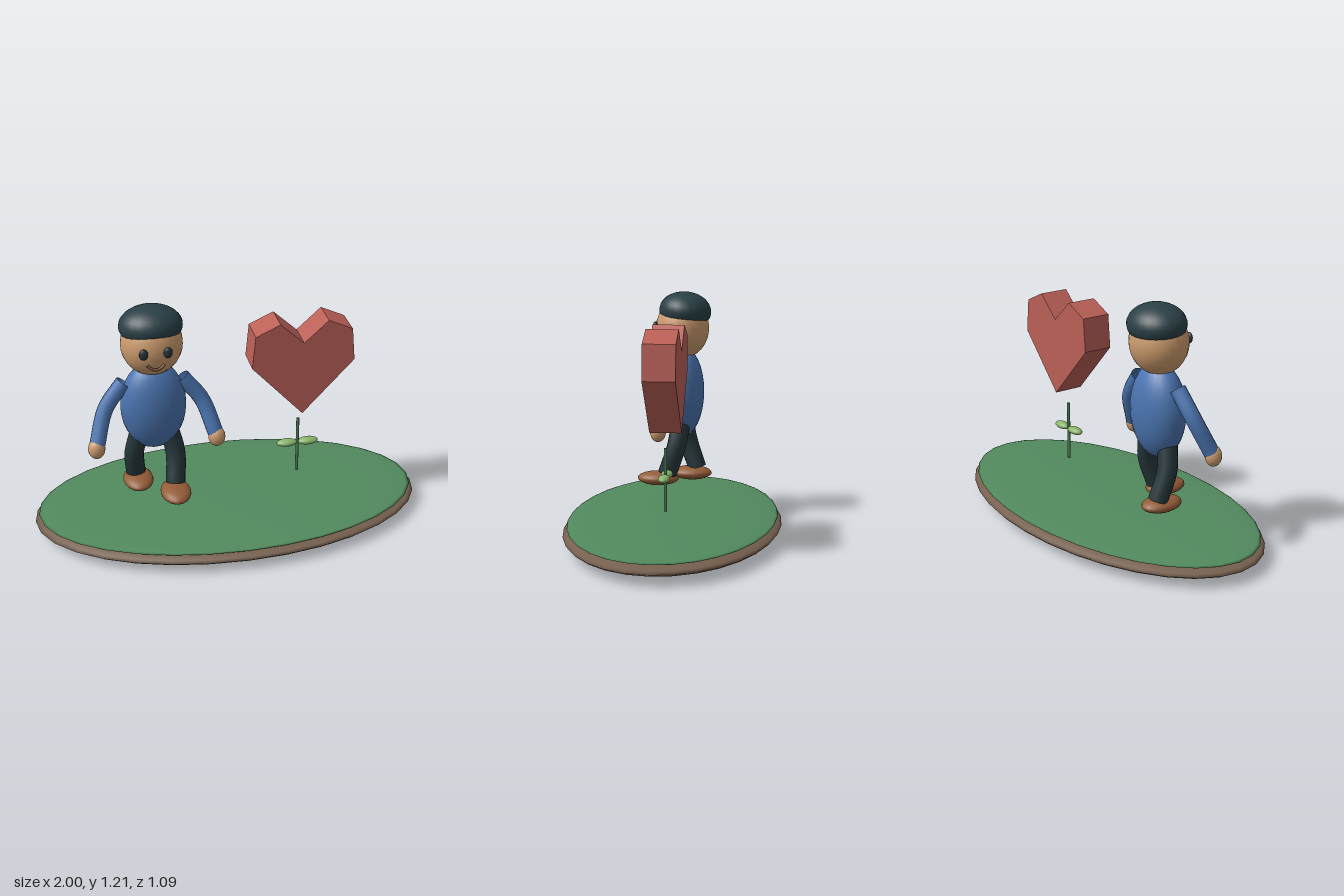
import * as THREE from 'three';

const V = (x, y, z) => new THREE.Vector3(x, y, z);
const mat = (color, side = THREE.FrontSide) => new THREE.MeshStandardMaterial({ color, side });
const COLORS = {
  skin: 0xcc9c6e, shirt: 0x4a74b0, trousers: 0x26373b, shoe: 0x945d38, cap: 0x2a4046,
  eye: 0x26343a, mouth: 0x7a4a32, soil: 0x776150, grass: 0x528a5e,
  heart: 0xbb6057, stem: 0x4c7d55, leaf: 0x8ab56c,
};

function add(parent, name, geometry, material) {
  const mesh = new THREE.Mesh(geometry, material);
  mesh.name = name;
  parent.add(mesh);
  return mesh;
}

// Smooth ellipsoid given by its centre and radii
function ellipsoid(parent, name, color, centre, radii, w = 24, h = 16) {
  const mesh = add(parent, name, new THREE.SphereGeometry(1, w, h), mat(color));
  mesh.position.set(...centre);
  mesh.scale.set(...radii);
  return mesh;
}

// Open tube along a smooth path
function limb(parent, name, color, points, radius, segments = 12) {
  const path = new THREE.CatmullRomCurve3(points);
  return add(parent, name, new THREE.TubeGeometry(path, segments, radius, 12), mat(color, THREE.DoubleSide));
}

function createPerson() {
  const person = new THREE.Group();
  person.name = 'person';

  ellipsoid(person, 'torso', COLORS.shirt, [0, 0.68, 0], [0.165, 0.24, 0.115]);
  ellipsoid(person, 'head', COLORS.skin, [0, 1.02, 0], [0.153, 0.16, 0.14]);

  // Cap: slightly more than a hemisphere, tipped backwards
  const cap = add(person, 'cap', new THREE.SphereGeometry(1, 24, 12, 0, Math.PI * 2, 0, Math.PI * 0.61),
    mat(COLORS.cap, THREE.DoubleSide));
  cap.position.set(0, 1.11, -0.014);
  cap.scale.set(0.157, 0.1, 0.137);
  cap.rotation.x = -0.1;

  // Smile
  limb(person, 'mouth', COLORS.mouth,
    [V(-0.042, 0.963, 0.131), V(-0.02, 0.948, 0.138), V(0, 0.943, 0.14), V(0.02, 0.948, 0.138), V(0.042, 0.963, 0.131)], 0.007);

  for (const s of [-1, 1]) {
    const side = s > 0 ? 'left' : 'right';
    ellipsoid(person, side + 'Eye', COLORS.eye, [s * 0.059, 1.028, 0.137], [0.022, 0.028, 0.014], 16, 12);

    // Arms swing out and a little forward
    limb(person, side + 'Arm', COLORS.shirt,
      [V(s * 0.145, 0.82, 0), V(s * 0.242, 0.69, 0.02), V(s * 0.297, 0.53, 0.085)], 0.04);
    ellipsoid(person, side + 'Hand', COLORS.skin, [s * 0.302, 0.512, 0.093], [0.043, 0.053, 0.041], 16, 12);

    // Striding legs: left forward, right back
    const stride = s * 0.07;
    limb(person, side + 'Leg', COLORS.trousers,
      [V(s * 0.075, 0.53, 0), V(s * 0.102, 0.4, s * 0.022), V(s * 0.092, 0.255, stride)], 0.05);
    ellipsoid(person, side + 'Shoe', COLORS.shoe, [s * 0.084, 0.228, 0.04 + s * 0.08], [0.077, 0.037, 0.11], 20, 12);
  }
  return person;
}

function createHeart() {
  // Half outline from the lower tip to the notch, mirrored
  const half = [[0, 0.583], [0.261, 0.863], [0.245, 1.033], [0.122, 1.09], [0, 0.978]];
  const outline = [...half, ...half.slice(1, -1).reverse().map(([x, y]) => [-x, y])];
  const shape = new THREE.Shape(outline.map(([x, y]) => new THREE.Vector2(x, y)));
  const geometry = new THREE.ExtrudeGeometry(shape, { depth: 0.156, bevelEnabled: false });
  geometry.translate(0, 0, -0.078);
  const heart = new THREE.Mesh(geometry, mat(COLORS.heart));
  heart.name = 'heart';
  return heart;
}

function createSprout() {
  const sprout = new THREE.Group();
  sprout.name = 'sprout';
  add(sprout, 'stem', new THREE.CylinderGeometry(0.008, 0.008, 0.31, 10), mat(COLORS.stem)).position.y = 0.355;
  for (const s of [-1, 1])
    ellipsoid(sprout, s > 0 ? 'leftLeaf' : 'rightLeaf', COLORS.leaf, [s * 0.056, 0.371, 0], [0.054, 0.019, 0.029], 16, 12);
  return sprout;
}

export function createModel() {
  const model = new THREE.Group();
  model.name = 'gardenScene';

  // Ground: two flattened discs
  ellipsoid(model, 'soil', COLORS.soil, [0, 0.06, 0], [1, 0.06, 0.545], 32, 16);
  ellipsoid(model, 'grass', COLORS.grass, [0, 0.1, 0], [0.98, 0.021, 0.525], 32, 16);

  const person = createPerson();
  person.position.x = -0.375;
  const heart = createHeart();
  const sprout = createSprout();
  heart.position.x = sprout.position.x = 0.37;
  model.add(person, heart, sprout);
  return model;
}
